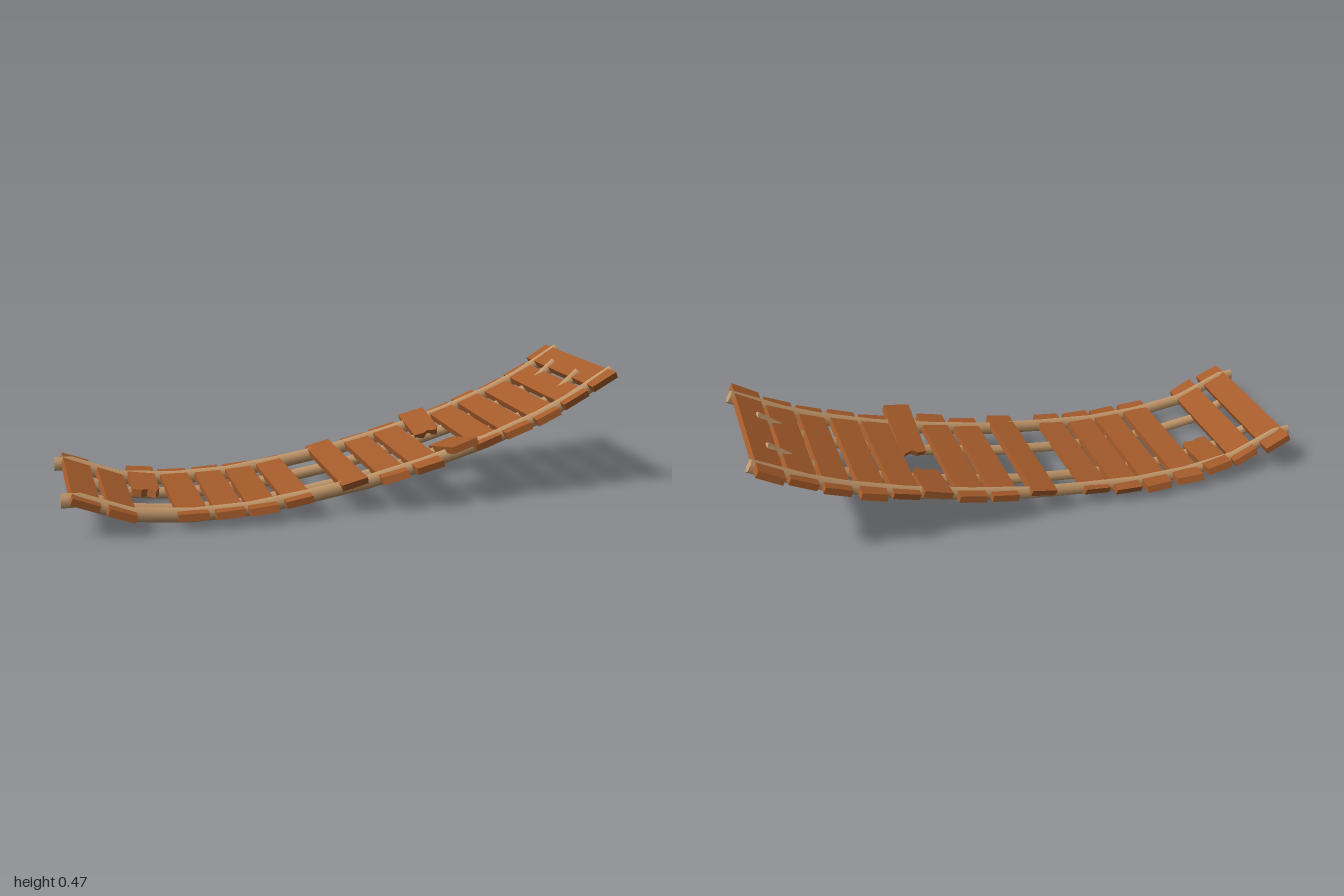
import * as THREE from 'three';

const woodMat = new THREE.MeshStandardMaterial({ color: 0xa65c2b });
woodMat.name = 'plankWood';
const ropeMat = new THREE.MeshStandardMaterial({ color: 0xc4986a });
ropeMat.name = 'ropeTan';

// small seeded noise in -1..1
let seed = 11;
function noise() {
  seed = (seed * 16807) % 2147483647;
  return (seed / 2147483647) * 2 - 1;
}

// rope: tall six-sided section swept along a polyline of [x, y] points, capped at both ends
function ropeGeometry(path, halfHeight, halfWidth, sides = 6) {
  const pos = [], index = [];
  const n = path.length;
  path.forEach(([x, y], i) => {
    const a = path[Math.max(i - 1, 0)], b = path[Math.min(i + 1, n - 1)];
    const t = Math.atan2(b[1] - a[1], b[0] - a[0]);
    for (let k = 0; k < sides; k++) {
      const ang = (k / sides) * Math.PI * 2;
      const up = Math.cos(ang) * halfHeight;
      pos.push(x - Math.sin(t) * up, y + Math.cos(t) * up, Math.sin(ang) * halfWidth);
    }
  });
  for (let i = 0; i < n - 1; i++) {
    for (let k = 0; k < sides; k++) {
      const k2 = (k + 1) % sides;
      const a = i * sides + k, b = i * sides + k2, c = a + sides, d = b + sides;
      index.push(a, b, c, b, d, c);
    }
  }
  // caps use their own vertices so the cut stays crisp
  for (const [ring, flip] of [[0, true], [n - 1, false]]) {
    const base = pos.length / 3;
    pos.push(...pos.slice(ring * sides * 3, (ring + 1) * sides * 3));
    for (let k = 1; k < sides - 1; k++) {
      index.push(base, base + (flip ? k + 1 : k), base + (flip ? k : k + 1));
    }
  }
  const g = new THREE.BufferGeometry();
  g.setAttribute('position', new THREE.Float32BufferAttribute(pos, 3));
  g.setIndex(index);
  g.computeVertexNormals();
  return g;
}

// plank: rough outline across the bridge; broken is the side (+1 / -1) with a splintered end
function plankGeometry(length, width, broken = 0) {
  const thick = 0.025, w = width / 2, l = length / 2;
  const j = () => noise() * 0.006;
  const shape = new THREE.Shape();
  const end = (s) => {
    if (broken !== s) return [[-w + j() / 2, s * l + j()], [w + j() / 2, s * l + j()]];
    return [[-w, s * (l - 0.012)], [-w * 0.35, s * (l - 0.006)], [w * 0.1, s * (l - 0.016)],
      [w * 0.7, s * l], [w, s * (l - 0.03)]];
  };
  const pts = [...end(-1), ...end(1).reverse()];
  shape.setFromPoints(pts.map((p) => new THREE.Vector2(...p)));
  const g = new THREE.ExtrudeGeometry(shape, { depth: thick, bevelEnabled: false });
  g.rotateX(Math.PI / 2);
  g.translate(0, thick / 2, 0);
  // sawn ends lean a little
  const p = g.attributes.position;
  const lean = [noise() * 0.01, noise() * 0.01];
  for (let i = 0; i < p.count; i++) {
    if (p.getY(i) < 0) p.setZ(i, p.getZ(i) + lean[p.getZ(i) > 0 ? 1 : 0]);
  }
  g.computeVertexNormals();
  return g;
}

export function createModel() {
  const model = new THREE.Group();
  model.name = 'ropeBridge';

  // outer ropes wrap the plank ends, inner ropes carry the planks from below
  const outerPath = [[-0.985, 0.132], [-0.93, 0.13], [-0.76, 0.063], [-0.56, 0.043], [-0.36, 0.047],
    [-0.15, 0.073], [0.06, 0.106], [0.27, 0.154], [0.5, 0.219], [0.7, 0.292], [0.82, 0.347], [0.988, 0.445]];
  const innerPath = [[-0.95, 0.118], [-0.76, 0.043], [-0.56, 0.022], [-0.36, 0.026], [-0.15, 0.05],
    [0.06, 0.083], [0.27, 0.131], [0.5, 0.195], [0.7, 0.27], [0.82, 0.334], [0.92, 0.42]];
  const outerGeo = ropeGeometry(outerPath, 0.026, 0.017);
  const innerGeo = ropeGeometry(innerPath, 0.022, 0.017);
  const ropes = [['outerRopeLeft', outerGeo, 0.208], ['outerRopeRight', outerGeo, -0.23],
    ['innerRopeLeft', innerGeo, 0.087], ['innerRopeRight', innerGeo, -0.108]];
  for (const [name, geo, z] of ropes) {
    const rope = new THREE.Mesh(geo, ropeMat);
    rope.name = name;
    rope.position.z = z;
    model.add(rope);
  }

  // planks: x, y, slope in degrees, back z, front z, sideways tilt, splintered side
  const planks = [
    [-0.91, 0.125, -22, -0.29, 0.265], [-0.793, 0.08, -22, -0.27, 0.265],
    [-0.68, 0.057, -8, -0.285, -0.06, 0.12, 1],
    [-0.558, 0.05, -1, -0.285, 0.255], [-0.436, 0.049, 1, -0.285, 0.255],
    [-0.32, 0.054, 4, -0.288, 0.265], [-0.198, 0.07, 9, -0.27, 0.26],
    [0.005, 0.113, 13, -0.273, 0.255], [0.15, 0.13, 12, -0.27, 0.258],
    [0.268, 0.16, 14, -0.28, 0.28],
    [0.39, 0.193, 16, -0.28, -0.075, 0.17, 1], [0.395, 0.2, 16, 0.03, 0.283, -0.24, -1],
    [0.497, 0.224, 18, -0.268, 0.25], [0.61, 0.263, 20, -0.28, 0.255],
    [0.722, 0.304, 23, -0.272, 0.258], [0.83, 0.358, 27, -0.27, 0.255],
    [0.932, 0.421, 31, -0.287, 0.268],
  ];
  planks.forEach(([x, y, slope, z0, z1, tilt = 0, broken = 0], i) => {
    const plank = new THREE.Mesh(plankGeometry(z1 - z0, 0.098, broken), woodMat);
    plank.name = (broken ? 'brokenPlank' : 'plank') + (i + 1);
    plank.position.set(x, y, (z0 + z1) / 2);
    plank.rotation.set(tilt, 0, THREE.MathUtils.degToRad(slope));
    model.add(plank);
  });

  return model;
}
